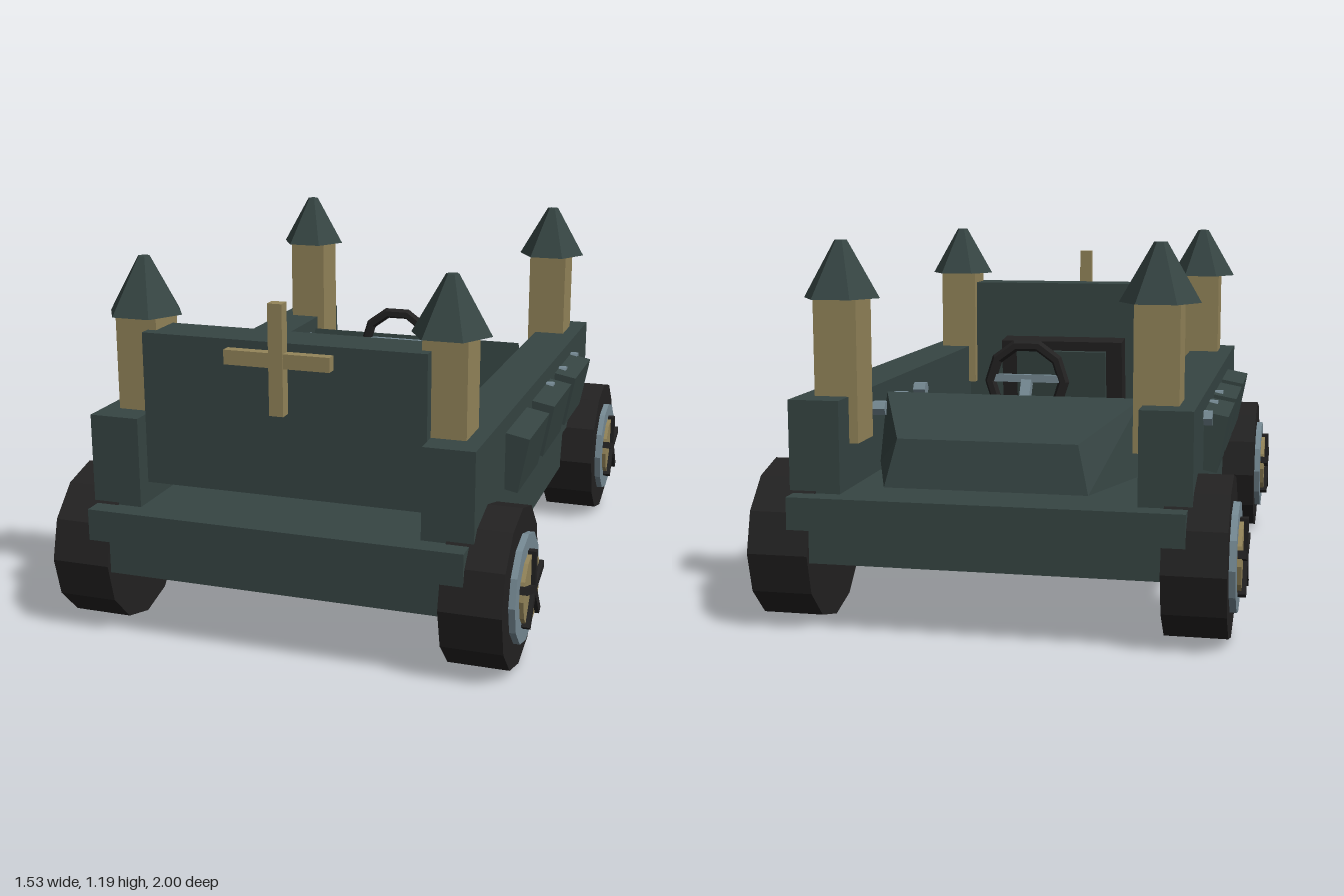
import * as THREE from 'three';

const mat = (name, color) => {
  const m = new THREE.MeshStandardMaterial({ color, flatShading: true });
  m.name = name;
  return m;
};

export function createModel() {
  const green = mat('dark green', 0x364543);
  const tan = mat('tan', 0x94855a);
  const steel = mat('steel blue grey', 0x768a94);
  const black = mat('rubber black', 0x232222);

  const car = new THREE.Group();
  car.name = 'castleCar';

  const add = (name, geo, material, x, y, z, parent = car) => {
    const mesh = new THREE.Mesh(geo, material);
    mesh.name = name;
    mesh.position.set(x, y, z);
    parent.add(mesh);
    return mesh;
  };
  const box = (name, material, w, h, d, x, y, z, parent) =>
    add(name, new THREE.BoxGeometry(w, h, d), material, x, y, z, parent);

  // Chassis and high front panel with its cross
  box('chassis', green, 1.2, 0.2, 1.96, 0, 0.325, 0);
  box('frontPanel', green, 0.906, 0.48, 0.155, 0, 0.73, 0.777);
  box('crossUpright', tan, 0.045, 0.34, 0.04, 0, 0.925, 0.875);
  box('crossBar', tan, 0.335, 0.045, 0.034, 0, 0.923, 0.874);

  // Hood: a box whose corners are moved to a tapered, sloping block
  const hoodGeo = new THREE.BoxGeometry(2, 2, 2);
  const p = hoodGeo.attributes.position;
  for (let i = 0; i < p.count; i++) {
    const side = p.getX(i), top = p.getY(i) > 0, inner = p.getZ(i) > 0;
    const [w, y, z] = inner
      ? (top ? [0.415, 0.69, -0.545] : [0.45, 0.455, -0.52])
      : (top ? [0.275, 0.6, -0.895] : [0.31, 0.455, -0.922]);
    p.setXYZ(i, side * w, y, z);
  }
  hoodGeo.computeVertexNormals();
  add('hood', hoodGeo, green, 0, 0, 0);

  // Seat with an inset back pad
  box('seatCushion', black, 0.47, 0.08, 0.48, 0, 0.49, 0.14);
  const back = new THREE.Group();
  back.name = 'seatBack';
  back.position.set(0, 0.635, 0.37);
  back.rotation.x = -0.11;
  car.add(back);
  box('backFrame', black, 0.46, 0.29, 0.09, 0, 0, 0, back);
  box('backPad', green, 0.34, 0.2, 0.02, 0, 0.01, -0.052, back);

  // Steering wheel and column
  add('steeringWheel', new THREE.TorusGeometry(0.125, 0.019, 6, 10), black, 0, 0.705, -0.315);
  box('wheelBar', steel, 0.23, 0.025, 0.018, 0, 0.715, -0.315);
  box('wheelSpoke', steel, 0.025, 0.12, 0.018, 0, 0.645, -0.315);
  const column = box('steeringColumn', steel, 0.034, 0.34, 0.034, 0, 0.56, -0.405);
  column.rotation.x = 0.56;

  for (const s of [-1, 1]) {
    // Side wall, tilted shields and cross pins
    box('sideWall', green, 0.16, 0.335, 1.82, s * 0.533, 0.5425, 0);
    for (const z of [0.375, -0.018, -0.41]) {
      const shield = box('sideShield', green, 0.12, 0.18, 0.31, s * 0.613, 0.566, z);
      shield.rotation.z = -s * 0.19;
    }
    for (const z of [-0.57, -0.34, -0.105]) {
      const pin = add('wallPin', new THREE.CylinderGeometry(0.025, 0.025, 0.23, 6), steel, s * 0.525, 0.64, z);
      pin.rotation.z = Math.PI / 2;
    }

    for (const e of [-1, 1]) {
      // Corner tower with a six-sided roof
      box('tower', tan, 0.137, 0.45, 0.145, s * 0.493, 0.79, e * 0.743);
      const roof = add('towerRoof', new THREE.CylinderGeometry(0.02, 0.123, 0.178, 6), green, s * 0.493, 1.097, e * 0.743);
      roof.rotation.y = Math.PI / 6;

      // Wheel, built along its own outward axis
      const wheel = new THREE.Group();
      wheel.name = 'wheel';
      wheel.position.set(s * 0.53, 0.25, e * 0.75);
      wheel.rotation.y = s > 0 ? 0 : Math.PI;
      car.add(wheel);
      const disc = (name, material, r, x0, x1) => {
        const geo = new THREE.CylinderGeometry(r, r, x1 - x0, 12).rotateZ(Math.PI / 2);
        add(name, geo, material, (x0 + x1) / 2, 0, 0, wheel);
      };
      disc('tire', black, 0.25, 0, 0.19);
      disc('rim', steel, 0.17, 0.18, 0.21);
      disc('hubDisc', tan, 0.115, 0.2, 0.223);
      for (let i = 0; i < 5; i++) {
        const a = (i / 5) * Math.PI * 2;
        const spoke = box('spoke', black, 0.025, 0.122, 0.024, 0.2235,
          Math.cos(a) * 0.061, Math.sin(a) * 0.061, wheel);
        spoke.rotation.x = a;
      }
    }
  }
  return car;
}
